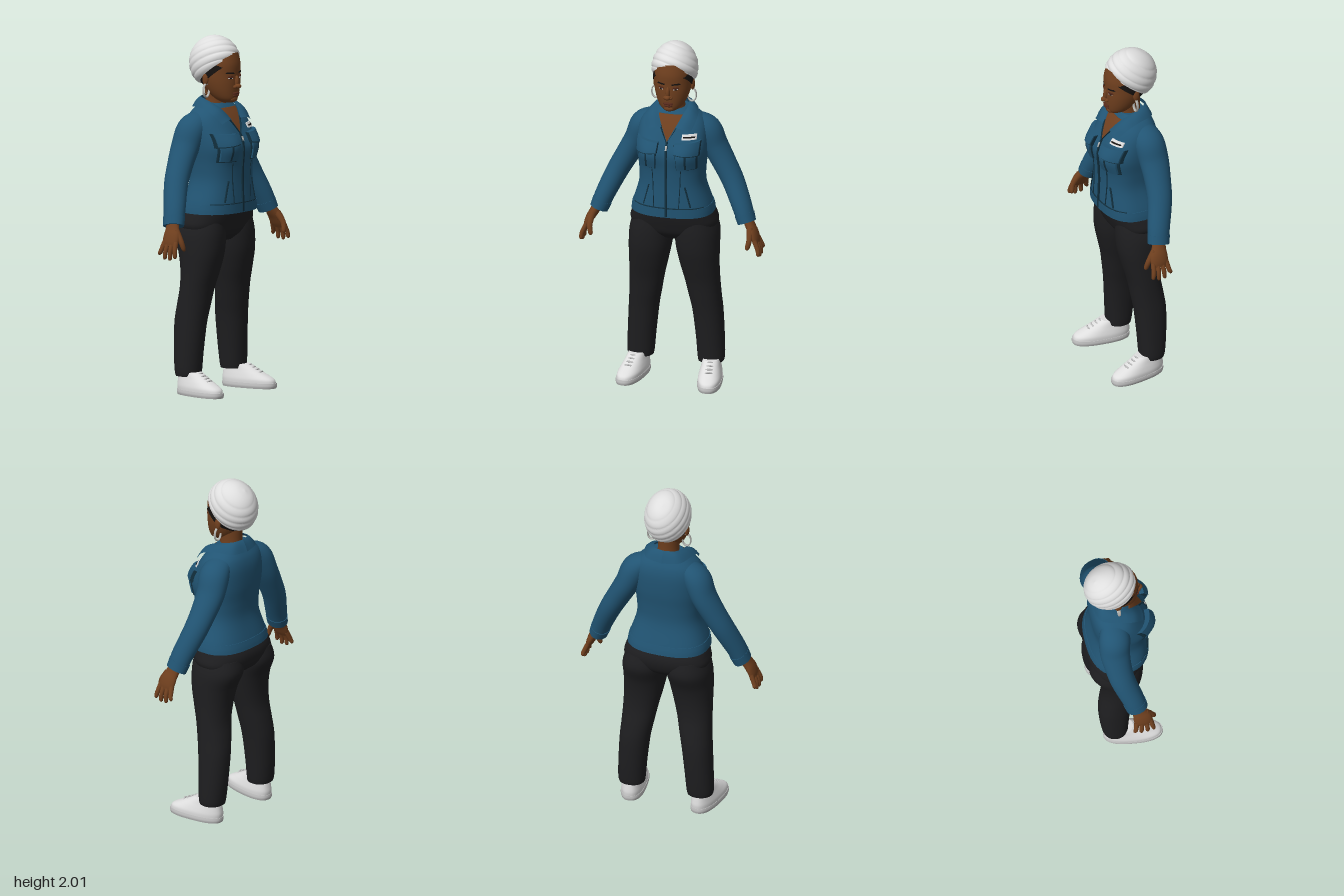
import * as THREE from 'three';

const mat = (name, color, side = THREE.FrontSide) => {
  const m = new THREE.MeshStandardMaterial({ color, side });
  m.name = name;
  return m;
};
const M = {
  skin: mat('brown skin', 0x6f3f1e),
  lip: mat('dark lips', 0x55291a),
  jacket: mat('blue jacket', 0x215473, THREE.DoubleSide),
  seam: mat('dark blue seam', 0x12303f),
  pants: mat('black trousers', 0x1e1e20),
  white: mat('white cloth', 0xdedede),
  sole: mat('grey sole', 0xc2c2c2),
  silver: mat('silver', 0xb4b4b0),
  dark: mat('black hair', 0x161210),
};

// Smooth interpolation between table rows
function at(rows, t) {
  const last = rows.length - 1, i = Math.min(Math.floor(t), last - 1), f = t - i;
  const r = k => rows[Math.max(0, Math.min(last, k))];
  return rows[i].map((_, k) => {
    const [a, b, c, d] = [r(i - 1)[k], r(i)[k], r(i + 1)[k], r(i + 2)[k]];
    return b + 0.5 * f * (c - a + f * (2 * a - 5 * b + 4 * c - d + f * (3 * (b - c) + d - a)));
  });
}

// Closed skin over rings of points, lowest ring first, with sharp end caps
function skin(rings) {
  const n = rings[0].length, pos = [], idx = [];
  const put = v => pos.push(v.x, v.y, v.z) / 3 - 1;
  rings.forEach(r => r.forEach(put));
  for (let i = 0; i < rings.length - 1; i++) for (let j = 0; j < n; j++) {
    const a = i * n + j, b = i * n + (j + 1) % n;
    idx.push(a, a + n, b + n, a, b + n, b);
  }
  [rings[0], rings[rings.length - 1]].forEach((r, top) => {
    const base = pos.length / 3;
    r.forEach(put);
    const c = put(r.reduce((s, v) => s.add(v), new THREE.Vector3()).divideScalar(n));
    for (let j = 0; j < n; j++) {
      const a = base + j, b = base + (j + 1) % n;
      if (top) idx.push(b, a, c); else idx.push(a, b, c);
    }
  });
  const g = new THREE.BufferGeometry();
  g.setAttribute('position', new THREE.Float32BufferAttribute(pos, 3));
  g.setIndex(idx);
  g.computeVertexNormals();
  return g;
}

// Level sections: rows of [y, centre x, half width, front z, back z]
const pw = (v, n) => Math.sign(v) * Math.abs(v) ** (2 / n);
function loft(rows, n = 2.3, deform = v => v, seg = 40, steps = 5) {
  const count = (rows.length - 1) * steps, rings = [];
  for (let i = 0; i <= count; i++) {
    const [y, cx, rx, f, b] = at(rows, i / steps);
    rings.push(Array.from({ length: seg }, (_, j) => {
      const a = j / seg * Math.PI * 2;
      return deform(new THREE.Vector3(cx + rx * pw(Math.cos(a), n), y, (f + b) / 2 + (f - b) / 2 * pw(Math.sin(a), n)));
    }));
  }
  return skin(rings);
}

// Limb along a path, lower end first: rows of [x, y, z, radius across, radius in z]
function limb(rows, seg = 24, steps = 5) {
  const count = (rows.length - 1) * steps, rings = [], Z = new THREE.Vector3(0, 0, 1);
  const point = t => new THREE.Vector3(...at(rows, Math.max(0, Math.min(rows.length - 1, t))).slice(0, 3));
  for (let i = 0; i <= count; i++) {
    const t = i / steps, p = point(t), [, , , ra, rz] = at(rows, t);
    const dir = point(t + 0.1).sub(point(t - 0.1)).normalize();
    const u = dir.clone().cross(Z).normalize(), v = u.clone().cross(dir);
    rings.push(Array.from({ length: seg }, (_, j) => {
      const a = j / seg * Math.PI * 2;
      return p.clone().addScaledVector(u, ra * Math.cos(a)).addScaledVector(v, rz * Math.sin(a));
    }));
  }
  return skin(rings);
}

// Front surface z of a loft at x, y
function frontOf(rows, n, x, y) {
  let lo = 0, hi = rows.length - 1;
  for (let k = 0; k < 24; k++) {
    const m = (lo + hi) / 2;
    if (at(rows, m)[0] < y) lo = m; else hi = m;
  }
  const [, , rx, f, b] = at(rows, lo);
  return (f + b) / 2 + (f - b) / 2 * (1 - Math.min(1, Math.abs(x / rx)) ** n) ** (1 / n);
}

// Four-cornered plate that hugs a surface; corners run anticlockwise from lower left
function patch(surface, [bl, br, tr, tl], thick) {
  const g = new THREE.BoxGeometry(1, 1, 1, 10, 10, 1), p = g.attributes.position;
  const mix = THREE.MathUtils.lerp;
  for (let i = 0; i < p.count; i++) {
    const u = p.getX(i) + 0.5, v = p.getY(i) + 0.5;
    const x = mix(mix(bl[0], br[0], u), mix(tl[0], tr[0], u), v);
    const y = mix(mix(bl[1], br[1], u), mix(tl[1], tr[1], u), v);
    p.setXYZ(i, x, y, surface(x, y) - 0.003 + (p.getZ(i) + 0.5) * (thick + 0.003));
  }
  g.computeVertexNormals();
  return g;
}
const rect = (x0, y0, x1, y1) => [[x0, y0], [x1, y0], [x1, y1], [x0, y1]];
const ball = (x, y, z, rx, ry, rz) => new THREE.SphereGeometry(1, 20, 14).scale(rx, ry, rz).translate(x, y, z);

function mirrored(geo) {
  const g = geo.clone().scale(-1, 1, 1), a = g.index.array;
  for (let i = 0; i < a.length; i += 3) [a[i], a[i + 1]] = [a[i + 1], a[i]];
  return g;
}

export function createModel() {
  const model = new THREE.Group();
  model.name = 'standingWoman';
  const add = (name, geo, m) => {
    const mesh = new THREE.Mesh(geo, m);
    mesh.name = name;
    model.add(mesh);
  };
  const pair = (name, geo, m) => { add(name + 'Left', geo, m); add(name + 'Right', mirrored(geo), m); };

  // Jacket body
  const torso = [[1.03, 0, .23, .155, -.185], [1.08, 0, .222, .155, -.175], [1.2, 0, .187, .15, -.148],
    [1.3, 0, .188, .152, -.15], [1.4, 0, .2, .155, -.162], [1.5, 0, .198, .12, -.165],
    [1.56, 0, .18, .088, -.155], [1.6, 0, .14, .06, -.135], [1.635, 0, .085, .03, -.11]];
  const bust = (x, y) => 0.024 * Math.exp(-((Math.abs(x) - 0.11) ** 2 + (y - 1.41) ** 2) / 0.006);
  const chest = (x, y) => frontOf(torso, 2.5, x, y) + bust(x, y);
  add('jacketBody', loft(torso, 2.5, v => {
    if (v.z > 0) v.z += bust(v.x, v.y) * Math.min(1, v.z / 0.05);
    return v;
  }, 64), M.jacket);
  add('hemBand', loft([[1.025, 0, .235, .16, -.19], [1.05, 0, .232, .16, -.186], [1.078, 0, .226, .16, -.179]], 2.5), M.jacket);

  // Collar halves, ruled between a neck edge and an outer edge
  const curve = pts => new THREE.CatmullRomCurve3(pts.map(p => new THREE.Vector3(...p)));
  const inner = curve([[0, 1.668, -.115], [.06, 1.665, -.095], [.085, 1.648, -.02], [.07, 1.612, .055], [.04, 1.55, .108]]);
  const outer = curve([[0, 1.605, -.152], [.1, 1.61, -.125], [.14, 1.613, -.03], [.148, 1.585, .055], [.128, 1.53, .112]]);
  const collar = (grow, lift) => {
    const g = new THREE.PlaneGeometry(1, 1, 30, 5), p = g.attributes.position;
    for (let i = 0; i < p.count; i++) {
      const t = p.getX(i) + 0.5, v = (p.getY(i) + 0.5) * grow;
      const q = inner.getPoint(t).lerp(outer.getPoint(t), v);
      const bow = Math.sin(v * Math.PI) * 0.01 + lift;
      p.setXYZ(i, q.x, q.y + bow, q.z + (t > 0.6 ? bow : 0));
    }
    g.computeVertexNormals();
    return g;
  };
  pair('collar', collar(1, 0), M.jacket);

  // Open neckline, zip and badge
  add('necklineSkin', patch(chest, [[0, 1.475], [0, 1.475], [.07, 1.61], [-.07, 1.61]], 0.005), M.skin);
  pair('necklineEdge', patch(chest, [[0, 1.465], [.007, 1.478], [.055, 1.56], [.045, 1.555]], 0.01), M.seam);
  add('zip', patch(chest, rect(-.006, 1.03, .006, 1.475), 0.009), M.seam);
  add('zipPull', patch(chest, rect(-.005, 1.43, .005, 1.455), 0.013), M.silver);
  add('badge', patch(chest, rect(.083, 1.49, .16, 1.518), 0.007), M.white);
  add('badgeStripe', patch(chest, rect(.09, 1.5, .153, 1.507), 0.009), M.dark);

  // Chest pockets, welts and seams
  pair('pocketEdge', patch(chest, [[.06, 1.318], [.166, 1.318], [.176, 1.47], [.052, 1.47]], 0.008), M.seam);
  pair('pocket', patch(chest, [[.065, 1.324], [.16, 1.324], [.17, 1.46], [.058, 1.46]], 0.018), M.jacket);
  pair('pocketPleat', patch(chest, rect(.108, 1.328, .118, 1.41), 0.02), M.seam);
  pair('flapEdge', patch(chest, [[.05, 1.415], [.18, 1.4], [.183, 1.48], [.046, 1.47]], 0.021), M.seam);
  pair('flap', patch(chest, [[.053, 1.421], [.177, 1.407], [.181, 1.482], [.048, 1.473]], 0.027), M.jacket);
  pair('sideWelt', patch(chest, [[.132, 1.09], [.139, 1.09], [.107, 1.21], [.1, 1.21]], 0.006), M.seam);
  pair('frontSeam', patch(chest, [[.07, 1.085], [.074, 1.085], [.084, 1.31], [.08, 1.31]], 0.004), M.seam);
  add('hemSeam', patch(chest, rect(-.2, 1.078, .2, 1.083), 0.005), M.seam);

  // Sleeves and cuffs
  pair('sleeve', limb([[.425, .99, 0, .05, .06], [.395, 1.07, -.018, .056, .064], [.335, 1.2, -.055, .062, .07],
    [.28, 1.3, -.07, .066, .076], [.225, 1.4, -.075, .071, .085], [.18, 1.495, -.065, .078, .088],
    [.12, 1.55, -.055, .05, .072]], 32), M.jacket);
  pair('cuff', limb([[.428, .982, .001, .052, .062], [.411, 1.028, -.009, .056, .065]], 32), M.jacket);

  // Hands
  pair('palm', limb([[.494, .875, .025, .014, .046], [.485, .9, .024, .021, .052], [.47, .935, .02, .025, .052],
    [.45, .97, .01, .027, .042], [.42, 1.03, -.005, .03, .034]]), M.skin);
  [-.039, -.013, .013, .038].forEach((o, i) => {
    const tip = [.825, .803, .8, .812][i];
    pair('finger' + (i + 1), limb([[.512, tip, .023 + o * 1.4, .004, .004], [.512, tip + .01, .023 + o * 1.4, .011, .011],
      [.508, .85, .024 + o * 1.25, .013, .013], [.486, .9, .024 + o, .014, .015]], 12, 4), M.skin);
  });
  pair('thumb', limb([[.452, .85, .092, .004, .004], [.453, .862, .092, .013, .012],
    [.462, .905, .08, .016, .016], [.457, .96, .04, .02, .022]], 12, 4), M.skin);

  // Trousers
  add('trouserHips', loft([[.86, 0, .12, .05, -.12], [.9, 0, .21, .09, -.17], [.95, 0, .248, .11, -.193],
    [1.0, 0, .24, .125, -.195], [1.05, 0, .222, .135, -.175]], 2.5), M.pants);
  pair('trouserLeg', loft([[.105, .203, .072, .0, -.138], [.14, .203, .077, .003, -.145], [.25, .197, .08, .01, -.155],
    [.4, .185, .085, .022, -.16], [.5, .172, .091, .036, -.15], [.6, .16, .099, .052, -.135],
    [.7, .147, .11, .078, -.138], [.8, .137, .121, .1, -.158], [.9, .129, .125, .106, -.198],
    [.98, .12, .11, .1, -.185]], 2.2), M.pants);

  // Shoes, turned slightly outward
  const place = g => g.rotateY(0.15).translate(.218, 0, 0);
  pair('sole', place(loft([[0, 0, .066, .194, -.134], [.014, 0, .07, .198, -.138], [.03, 0, .068, .196, -.137]], 2.5)), M.sole);
  pair('shoe', place(loft([[.028, 0, .066, .192, -.135], [.05, 0, .066, .182, -.137], [.075, 0, .06, .135, -.134],
    [.1, 0, .053, .085, -.13], [.13, 0, .047, .03, -.124]], 2.4)), M.white);
  for (let i = 0; i < 4; i++) {
    const z = .105 - i * .024, y = .089 + i * .0115;
    pair('lace' + (i + 1), place(new THREE.TubeGeometry(curve([[-.034, y - .012, z - .012], [0, y + .004, z + .004],
      [.034, y - .012, z - .012]]), 10, .005, 6)), M.sole);
  }

  // Neck and head
  add('neck', loft([[1.55, 0, .075, .05, -.11], [1.61, 0, .064, .035, -.1], [1.66, 0, .06, .035, -.095],
    [1.74, 0, .065, .05, -.1]], 2), M.skin);
  const head = [[1.64, 0, .03, .085, .01], [1.66, 0, .06, .102, -.03], [1.7, 0, .084, .109, -.075],
    [1.75, 0, .1, .112, -.11], [1.8, 0, .107, .111, -.13], [1.86, 0, .107, .112, -.14], [1.92, 0, .097, .098, -.13]];
  const face = (x, y) => frontOf(head, 2.1, x, y);
  add('head', loft(head, 2.1), M.skin);
  add('noseBridge', ball(0, 1.76, .112, .012, .035, .016), M.skin);
  add('noseTip', ball(0, 1.735, .122, .017, .014, .02), M.skin);
  pair('nostril', ball(.015, 1.731, .113, .012, .01, .013), M.skin);
  add('upperLip', ball(0, 1.694, .109, .029, .007, .012), M.lip);
  add('lowerLip', ball(0, 1.682, .108, .025, .008, .012), M.lip);
  add('chin', ball(0, 1.66, .09, .03, .018, .017), M.skin);
  pair('eye', patch(face, [[.028, 1.777], [.055, 1.779], [.052, 1.788], [.032, 1.788]], 0.002), M.sole);
  pair('iris', patch(face, rect(.037, 1.777, .048, 1.789), 0.003), M.dark);
  pair('eyelid', patch(face, [[.024, 1.784], [.06, 1.785], [.055, 1.794], [.03, 1.794]], 0.004), M.lip);
  pair('eyebrow', patch(face, [[.02, 1.806], [.068, 1.808], [.06, 1.817], [.022, 1.813]], 0.003), M.dark);
  pair('ear', ball(.108, 1.773, -.025, .012, .034, .02), M.skin);
  pair('hoopEarring', new THREE.TorusGeometry(.036, .005, 8, 32).scale(.7, 1.05, 1.6).translate(.104, 1.71, -.022), M.silver);

  // Tilted headwrap with slanting folds, over a band of hair
  const tilt = g => g.rotateX(-0.66).translate(0, 1.815, -.01);
  const wrap = [[0, .138], [.02, .15], [.05, .155], [.1, .147], [.145, .122], [.175, .09], [.195, .052], [.204, .004]];
  add('hairBand', tilt(loft([[-.03, 0, .111, .122, -.122], [.03, 0, .117, .138, -.138]], 2)), M.dark);
  add('headwrap', tilt(loft(wrap.map(([y, r]) => [y, 0, r * .84, r, -r]), 2, v => {
    const fold = Math.abs(Math.sin(Math.PI * (v.y + 0.3 * v.x + 0.12 * v.z) / 0.042)) ** 0.5;
    const k = 1 + 0.045 * (fold - 0.8);
    return v.set(v.x * k, v.y, v.z * k);
  }, 80, 9)), M.white);

  return model;
}
